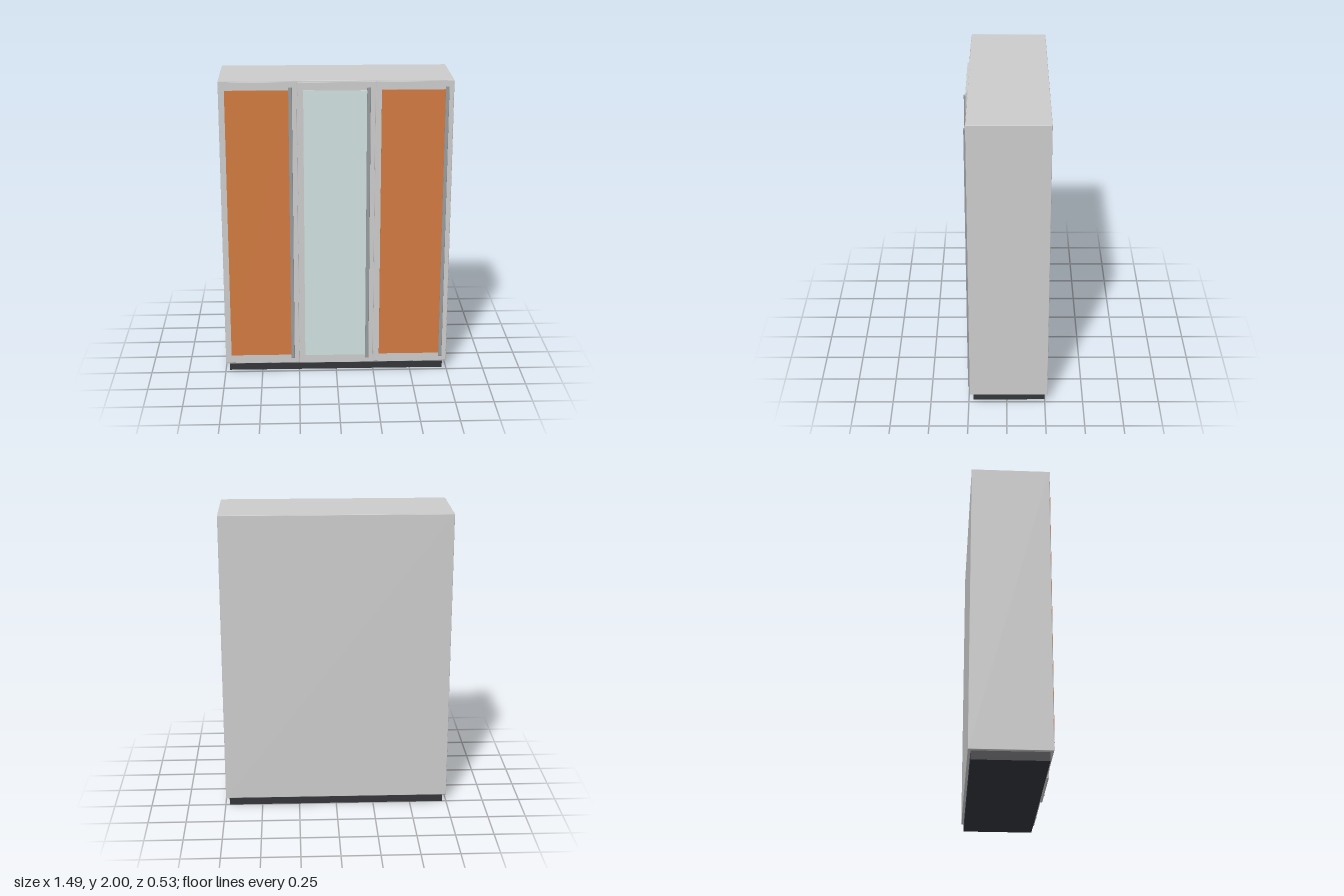
import * as THREE from 'three';
import { RoundedBoxGeometry } from 'three/addons/geometries/RoundedBoxGeometry.js';

const paint = (color) => new THREE.MeshStandardMaterial({ color });
const grey = paint(0xcccccc);
const wood = paint(0xd27a40);
const glass = paint(0xcfe0e0);
const steel = paint(0x989ca0);
const dark = paint(0x34353a);

// Box given by its lower and upper limits on each axis, with an optional softened edge
function block(name, material, [x0, x1], [y0, y1], [z0, z1], radius = 0) {
  const size = [x1 - x0, y1 - y0, z1 - z0];
  const geometry = radius
    ? new RoundedBoxGeometry(...size, 2, radius)
    : new THREE.BoxGeometry(...size);
  const mesh = new THREE.Mesh(geometry, material);
  mesh.name = name;
  mesh.position.set((x0 + x1) / 2, (y0 + y1) / 2, (z0 + z1) / 2);
  return mesh;
}

// Door leaf with a raised panel and a tall bar handle; z is the face of the leaf
function door(name, x, z, panelMaterial) {
  const group = new THREE.Group();
  group.name = name;
  group.add(
    block('doorLeaf', grey, [x - 0.247, x + 0.247], [0.062, 1.994], [0.22, z], 0.002),
    block('doorPanel', panelMaterial, [x - 0.21, x + 0.2], [0.12, 1.94], [z - 0.005, z + 0.005]),
    block('doorHandle', steel, [x + 0.194, x + 0.217], [0.097, 1.96], [z - 0.003, z + 0.012], 0.003)
  );
  return group;
}

export function createModel() {
  const wardrobe = new THREE.Group();
  wardrobe.name = 'wardrobe';

  // Recessed plinth and cabinet body
  wardrobe.add(
    block('plinth', dark, [-0.723, 0.723], [0, 0.062], [-0.25, 0.22]),
    block('cabinetBody', grey, [-0.747, 0.747], [0.056, 2], [-0.267, 0.241], 0.003)
  );

  // Two wooden doors flank a sliding glass door that stands slightly proud
  wardrobe.add(
    door('rightDoor', -0.498, 0.243, wood),
    door('glassDoor', 0, 0.255, glass),
    door('leftDoor', 0.498, 0.243, wood)
  );

  return wardrobe;
}
